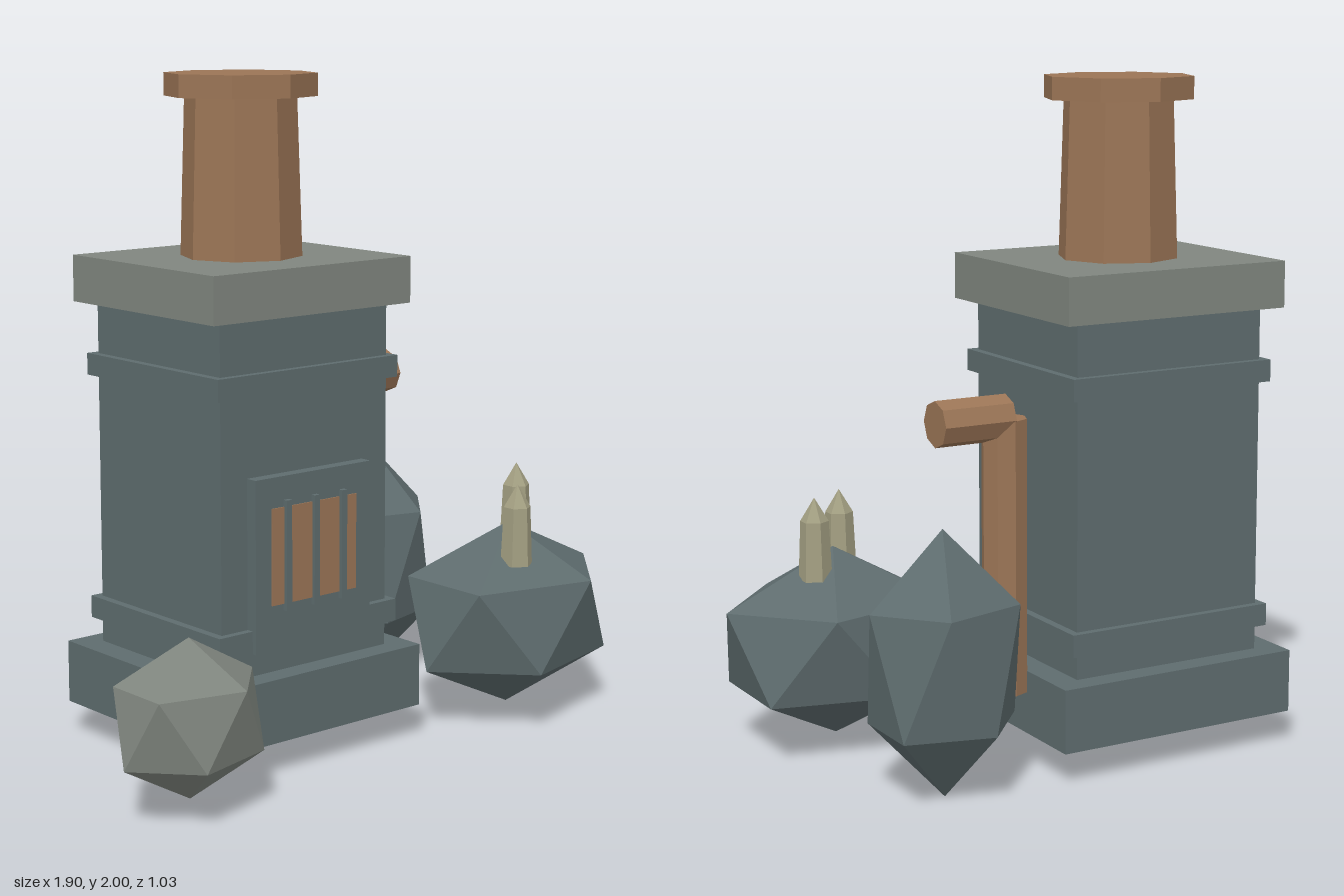
import * as THREE from 'three';

const mat = (name, color) => {
  const m = new THREE.MeshStandardMaterial({ color });
  m.name = name;
  m.flatShading = true;
  return m;
};

export function createModel() {
  const group = new THREE.Group();
  const slate = mat('slate', 0x5e6c6e);
  const stone = mat('pale stone', 0x80867f);
  const copper = mat('copper', 0x9b7556);
  const crystal = mat('crystal', 0xa39f82);

  const add = (name, geo, material, x = 0, y = 0, z = 0) => {
    const mesh = new THREE.Mesh(geo, material);
    mesh.name = name;
    mesh.position.set(x, y, z);
    group.add(mesh);
    return mesh;
  };
  const CX = -0.182, CZ = -0.093; // centre of the furnace
  const block = (name, w, d, y0, y1, material) =>
    add(name, new THREE.BoxGeometry(w, y1 - y0, d), material, CX, (y0 + y1) / 2, CZ);

  // Furnace tower, stacked from the plinth up
  block('plinth', 0.785, 0.72, 0.1, 0.29, slate);
  block('body', 0.625, 0.58, 0.29, 1.33, slate);
  block('lowerBand', 0.675, 0.625, 0.365, 0.432, slate);
  block('upperBand', 0.675, 0.625, 1.11, 1.175, slate);
  block('topSlab', 0.735, 0.668, 1.33, 1.468, stone);

  // Fire door with its grate
  add('doorFrame', new THREE.BoxGeometry(0.435, 0.51, 0.06), slate, CX, 0.62, 0.205);
  add('fireOpening', new THREE.BoxGeometry(0.32, 0.285, 0.008), copper, CX, 0.643, 0.235);
  for (const i of [-1, 0, 1])
    add('grateBar', new THREE.BoxGeometry(0.02, 0.325, 0.03), slate, CX + i * 0.105, 0.643, 0.235);

  // Chimney
  add('chimney', new THREE.CylinderGeometry(0.165, 0.18, 0.47, 8), copper, CX, 1.702, CZ);
  add('chimneyRim', new THREE.CylinderGeometry(0.225, 0.225, 0.067, 8), copper, CX, 1.9665, CZ);

  // Side pipe with a horizontal outlet
  add('sidePipe', new THREE.CylinderGeometry(0.068, 0.068, 0.815, 8), copper, 0.257, 0.6325, -0.184);
  add('pipeOutlet', new THREE.CylinderGeometry(0.068, 0.068, 0.228, 8), copper, 0.366, 1.042, -0.184)
    .rotation.z = Math.PI / 2;

  // Boulder: an icosahedron standing on a corner, upper ring pointing to +x
  const boulder = (name, material, [x, y, z], [rx, ry, rz]) => {
    const h = 1 / Math.sqrt(5), r = 2 / Math.sqrt(5);
    const pts = [0, 1, 0, 0, -1, 0];
    const idx = [];
    for (let i = 0; i < 5; i++) {
      const a = i * Math.PI * 0.4, b = a + Math.PI * 0.2;
      pts.push(r * Math.cos(a), h, r * Math.sin(a), r * Math.cos(b), -h, r * Math.sin(b));
      const u = 2 + 2 * i, l = u + 1, u2 = 2 + 2 * ((i + 1) % 5), l2 = u2 + 1;
      idx.push(0, u2, u, u, u2, l, u2, l2, l, 1, l, l2);
    }
    const geo = new THREE.BufferGeometry();
    geo.setAttribute('position', new THREE.Float32BufferAttribute(pts, 3));
    geo.setIndex(idx);
    geo.scale(rx, ry, rz);
    const flat = geo.toNonIndexed();
    flat.computeVertexNormals();
    add(name, flat, material, x, y, z);
  };
  boulder('paleBoulder', stone, [-0.728, 0.275, 0.347], [0.249, 0.23, 0.197]);
  boulder('wideBoulder', slate, [0.6, 0.32, 0.253], [0.386, 0.29, 0.297]);
  boulder('tallBoulder', slate, [0.54, 0.39, -0.338], [0.255, 0.39, 0.214]);

  // Crystals: tapered hexagonal shafts with pointed tips
  for (const [x, z, y0, y1] of [[0.527, 0.36, 0.505, 0.755], [0.68, 0.205, 0.53, 0.777]]) {
    const tip = 0.07, shaft = y1 - y0 - tip;
    add('crystalShaft', new THREE.CylinderGeometry(0.042, 0.05, shaft, 6), crystal, x, y0 + shaft / 2, z);
    add('crystalTip', new THREE.ConeGeometry(0.042, tip, 6), crystal, x, y1 - tip / 2, z);
  }
  return group;
}
